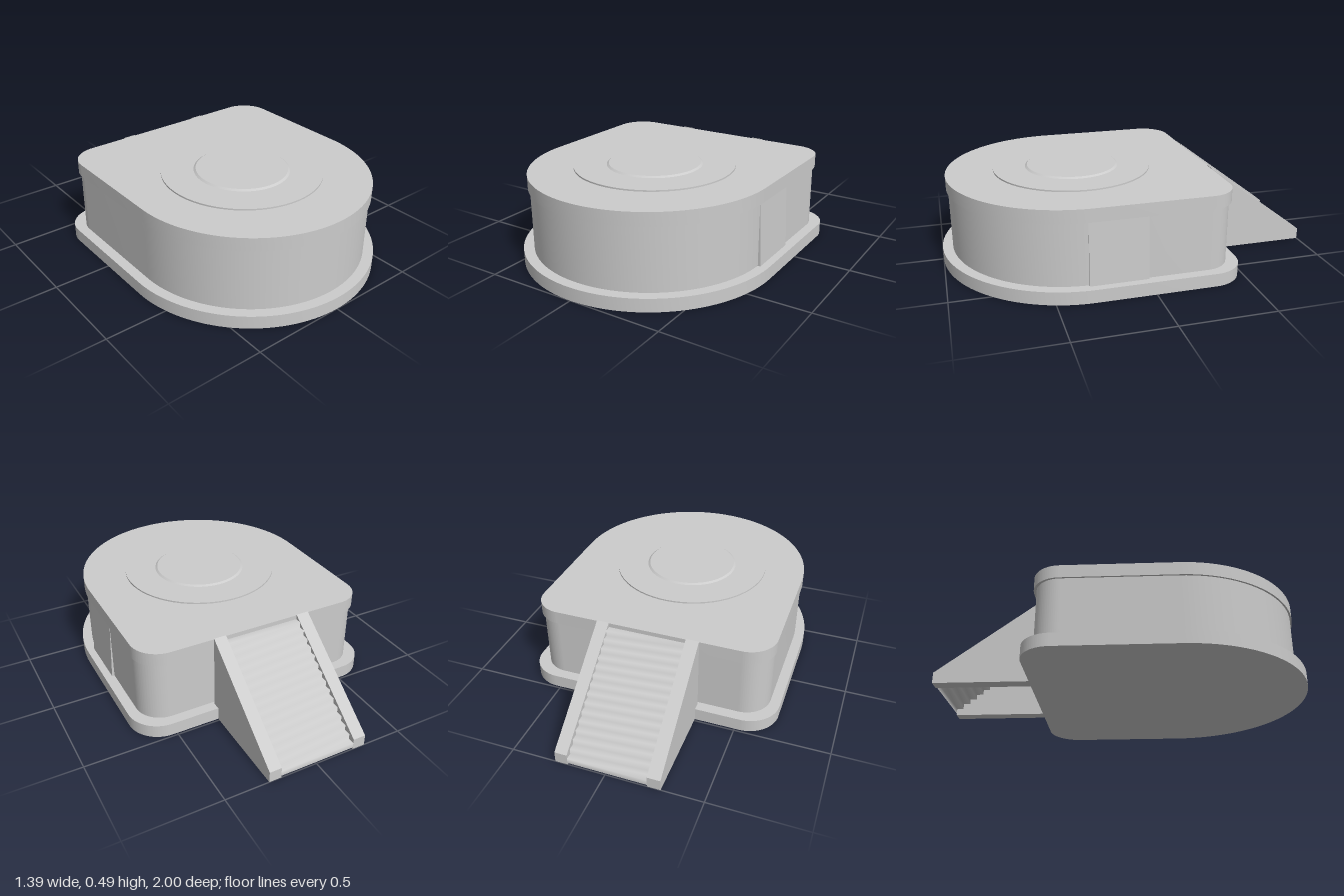
import * as THREE from 'three';
import { toCreasedNormals } from 'three/addons/utils/BufferGeometryUtils.js';

const material = new THREE.MeshStandardMaterial({ color: 0xcccccc });
const thinMaterial = new THREE.MeshStandardMaterial({ color: 0xcccccc, side: THREE.DoubleSide });

const FRONT_CENTRE = 0.305; // z of the centre of the rounded front
const STAIR_TOP = -0.445, STAIR_END = -1;

function addMesh(group, name, geometry, mat = material) {
  const mesh = new THREE.Mesh(geometry, mat);
  mesh.name = name;
  group.add(mesh);
  return mesh;
}

// Slab with a semicircular front and two rounded back corners
function slab(halfWidth, back, corner, y0, y1) {
  const s = new THREE.Shape();
  const top = -back; // shape y is -z
  s.moveTo(halfWidth, -FRONT_CENTRE);
  s.lineTo(halfWidth, top - corner);
  s.absarc(halfWidth - corner, top - corner, corner, 0, Math.PI / 2, false);
  s.lineTo(-halfWidth + corner, top);
  s.absarc(-halfWidth + corner, top - corner, corner, Math.PI / 2, Math.PI, false);
  s.lineTo(-halfWidth, -FRONT_CENTRE);
  s.absarc(0, -FRONT_CENTRE, halfWidth, Math.PI, 2 * Math.PI, false);
  const g = new THREE.ExtrudeGeometry(s, { depth: y1 - y0, bevelEnabled: false, curveSegments: 32 });
  g.rotateX(-Math.PI / 2).translate(0, y0, 0);
  return toCreasedNormals(g, 0.6);
}

// Extrude a side profile of [z, y] points between two x positions
function sideProfile(points, x0, x1) {
  const s = new THREE.Shape(points.map(([z, y]) => new THREE.Vector2(-z, y)));
  const g = new THREE.ExtrudeGeometry(s, { depth: x1 - x0, bevelEnabled: false });
  return g.rotateY(Math.PI / 2).translate(x0, 0, 0);
}

// Zigzag sheet of treads and risers, open underneath
function stairSheet(x0, x1, count, yLow, yHigh) {
  const positions = [], index = [];
  const run = (STAIR_TOP - STAIR_END) / count, rise = (yHigh - yLow) / count;
  const addRow = (y, z) => positions.push(x0, y, z, x1, y, z);
  addRow(yLow, STAIR_END);
  for (let i = 0; i < count; i++) {
    const y = yLow + (i + 1) * rise;
    addRow(y, STAIR_END + i * run);
    addRow(y, STAIR_END + (i + 1) * run);
  }
  for (let i = 0; i < count * 2; i++) {
    const a = i * 2;
    index.push(a, a + 2, a + 1, a + 1, a + 2, a + 3);
  }
  const g = new THREE.BufferGeometry();
  g.setAttribute('position', new THREE.Float32BufferAttribute(positions, 3));
  g.setIndex(index);
  g.computeVertexNormals();
  return g;
}

export function createModel() {
  const model = new THREE.Group();
  model.name = 'platform';

  // Main body
  addMesh(model, 'basePlinth', slab(0.695, -0.488, 0.17, 0, 0.07));
  addMesh(model, 'wall', slab(0.64, -0.43, 0.14, 0.07, 0.402));
  addMesh(model, 'topDeck', slab(0.65, -0.445, 0.15, 0.402, 0.473));

  // Shallow leaning panel on the left wall
  const panel = new THREE.Shape([[0.63, 0.07], [0.654, 0.07], [0.64, 0.402], [0.63, 0.402]]
    .map(([x, y]) => new THREE.Vector2(x, y)));
  const panelGeometry = new THREE.ExtrudeGeometry(panel, { depth: 0.3, bevelEnabled: false });
  addMesh(model, 'sidePanel', panelGeometry.translate(0, 0, 0.03));

  // Raised discs on the deck
  const outer = addMesh(model, 'outerDisc', new THREE.CylinderGeometry(0.427, 0.427, 0.012, 64));
  outer.position.set(-0.009, 0.475, 0.275);
  const inner = addMesh(model, 'innerDisc', new THREE.CylinderGeometry(0.243, 0.254, 0.008, 64));
  inner.position.set(-0.009, 0.485, 0.275);

  // Back stairs: two sloping side walls with steps between
  const stairs = new THREE.Group();
  stairs.name = 'stairs';
  const profile = [[STAIR_END, 0], [STAIR_TOP, 0], [STAIR_TOP, 0.477], [STAIR_END, 0.06]];
  addMesh(stairs, 'rightStringer', sideProfile(profile, -0.285, -0.216));
  addMesh(stairs, 'leftStringer', sideProfile(profile, 0.199, 0.265));
  addMesh(stairs, 'steps', stairSheet(-0.216, 0.199, 15, 0.01, 0.45), thinMaterial);
  model.add(stairs);

  return model;
}
